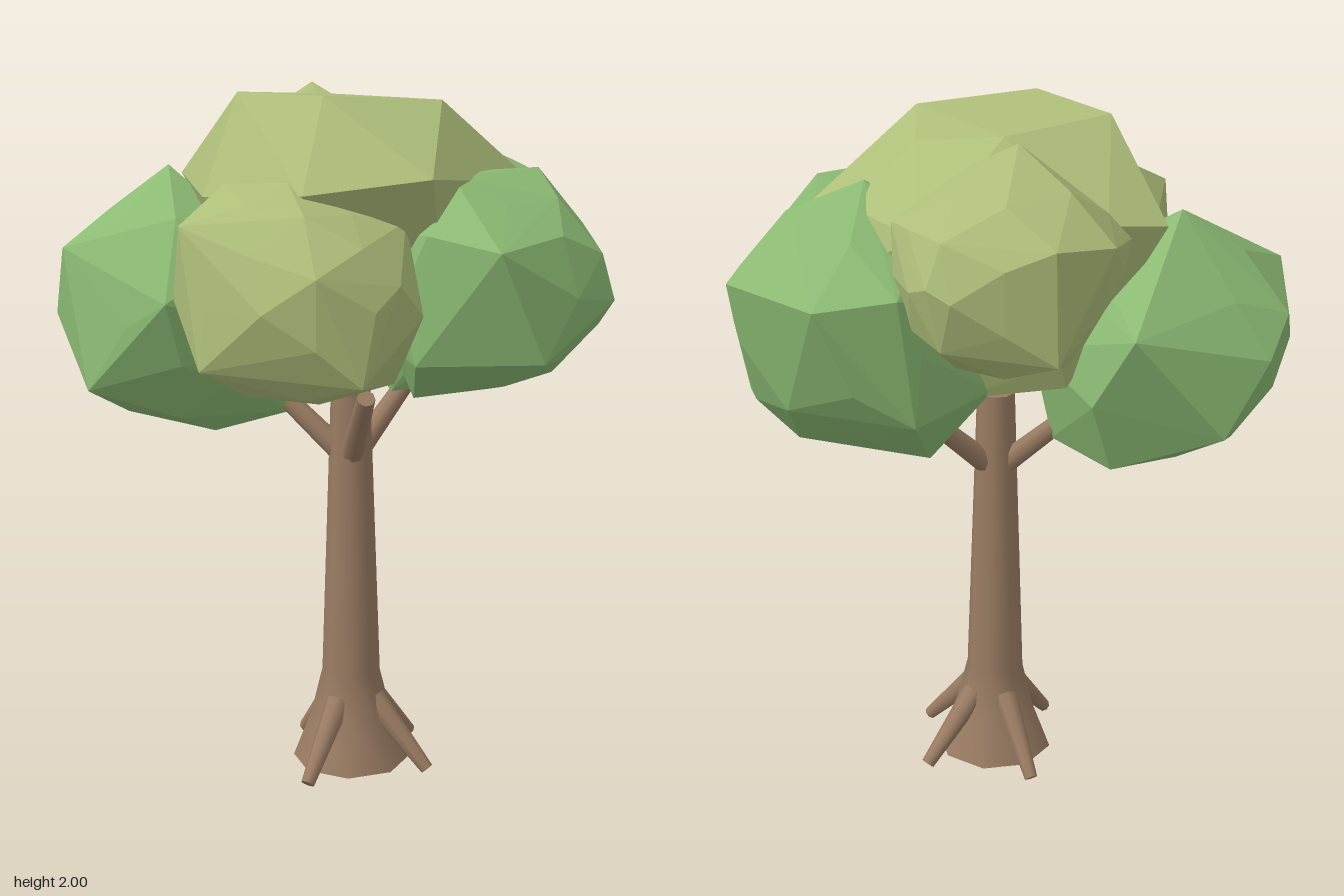
import * as THREE from 'three';
import { ConvexGeometry } from 'three/addons/geometries/ConvexGeometry.js';

const paint = (color, flatShading) => new THREE.MeshStandardMaterial({ color, flatShading });
const AXIS = new THREE.Vector3(-0.053, 0, -0.01); // trunk centre line

// Faceted leaf clump: the hull of a rough ellipsoid and a few jutting corners
function clump(name, center, radii, corners, material, detail = 1) {
  const pos = new THREE.IcosahedronGeometry(1, detail).attributes.position;
  const seen = new Map();
  for (let i = 0; i < pos.count; i++) {
    const v = new THREE.Vector3().fromBufferAttribute(pos, i);
    const key = [v.x, v.y, v.z].map((n) => Math.round(n * 1000)).join();
    const wobble = 0.985 + 0.04 * Math.sin(v.x * 7 + v.y * 11 + v.z * 5 + center[0] * 20);
    v.multiply(new THREE.Vector3(...radii)).multiplyScalar(wobble);
    seen.set(key, v.add(new THREE.Vector3(...center)));
  }
  const points = [...seen.values(), ...corners.map((c) => new THREE.Vector3(...c))];
  const mesh = new THREE.Mesh(new ConvexGeometry(points), material);
  mesh.name = name;
  return mesh;
}

// Tapered limb leaving the trunk at a compass angle in degrees, given as [radius from axis, height]
function limb(name, degrees, from, to, r0, r1, material) {
  const angle = THREE.MathUtils.degToRad(degrees);
  const place = ([r, y]) =>
    new THREE.Vector3(Math.cos(angle) * r, y, Math.sin(angle) * r).add(AXIS);
  const a = place(from), b = place(to);
  const dir = b.clone().sub(a);
  const mesh = new THREE.Mesh(new THREE.CylinderGeometry(r1, r0, dir.length(), 8), material);
  mesh.position.copy(a).lerp(b, 0.5);
  mesh.quaternion.setFromUnitVectors(new THREE.Vector3(0, 1, 0), dir.normalize());
  mesh.name = name;
  return mesh;
}

export function createModel() {
  const tree = new THREE.Group();
  tree.name = 'tree';
  const bark = paint(0x9a7c63, false);
  const lightLeaf = paint(0xaebe7a, true);
  const darkLeaf = paint(0x8cbb74, true);

  // Trunk with flared foot
  const profile = [[0, 0.01], [0.174, 0.01], [0.174, 0.01], [0.12, 0.15], [0.086, 0.29],
    [0.062, 1], [0.056, 1.18], [0.056, 1.18], [0, 1.18]].map(([x, y]) => new THREE.Vector2(x, y));
  const trunk = new THREE.Mesh(new THREE.LatheGeometry(profile, 8), bark);
  trunk.position.copy(AXIS);
  trunk.name = 'trunk';
  tree.add(trunk);

  // Roots and branches
  [-3, 70, 162, 278].forEach((angle, i) =>
    tree.add(limb(`root${i + 1}`, angle, [0.075, 0.21], [0.255, 0.016], 0.037, 0.02, bark)));
  [0, 123, 237].forEach((angle, i) =>
    tree.add(limb(`branch${i + 1}`, angle, [0.03, 0.96], [0.27, 1.18], 0.034, 0.026, bark)));

  // Crown
  tree.add(
    clump('topLeaves', [-0.02, 1.6, 0], [0.43, 0.41, 0.43], [
      [-0.31, 2, 0.17], [-0.3, 1.995, -0.2], [0.04, 1.98, 0.26], [0.05, 1.975, -0.2],
      [-0.22, 1.8, 0.49], [-0.48, 1.76, 0.28], [0.36, 1.74, 0.3], [0.4, 1.79, 0],
      [0.46, 1.62, 0.02], [-0.28, 1.75, -0.49], [-0.08, 1.78, -0.49], [0.36, 1.76, -0.28],
      [-0.05, 1.3, -0.36], [-0.02, 1.17, 0.02], [0.22, 1.28, -0.22], [-0.28, 1.25, 0.05],
      [-0.46, 1.72, -0.16],
    ], lightLeaf, 0),
    clump('backLeaves', [0.17, 1.67, -0.39], [0.31, 0.28, 0.28], [
      [0.12, 2, -0.37], [0.21, 1.8, -0.67], [0.02, 1.78, -0.66], [0.2, 1.5, -0.67],
      [0.47, 1.7, -0.48], [0.4, 1.8, -0.2], [0.38, 1.84, -0.45], [-0.15, 1.74, -0.5],
      [0.17, 1.92, -0.22],
    ], lightLeaf),
    clump('rightLeaves', [-0.46, 1.49, 0.2], [0.28, 0.29, 0.33], [
      [-0.74, 1.69, 0.1], [-0.76, 1.33, 0.2], [-0.5, 1.3, 0.53], [-0.4, 1.79, 0.1],
      [-0.55, 1.78, 0.05], [-0.19, 1.68, 0.36], [-0.5, 1.6, -0.15], [-0.38, 1.55, 0.54],
      [-0.2, 1.24, 0.33], [-0.25, 1.45, 0.49], [-0.4, 1.2, 0.25], [-0.2, 1.2, 0.15],
    ], lightLeaf),
    clump('frontLeaves', [0.12, 1.48, 0.37], [0.33, 0.31, 0.32], [
      [-0.01, 1.32, 0.7], [-0.21, 1.3, 0.42], [-0.2, 1.65, 0.45], [0.46, 1.45, 0.45],
      [-0.06, 1.79, 0.4], [0.3, 1.79, 0.38], [-0.14, 1.62, 0.66], [0.31, 1.45, 0.66],
      [-0.1, 1.18, 0.3], [0.35, 1.19, 0.35], [0.1, 1.17, 0.2],
    ], darkLeaf),
    clump('leftLeaves', [0.38, 1.46, 0.04], [0.34, 0.35, 0.35], [
      [0.76, 1.63, 0.04], [0.66, 1.27, 0.1], [0.65, 1.6, -0.22], [0.27, 1.1, -0.17],
      [0.34, 1.85, 0.04], [0.56, 1.77, 0.04], [0.45, 1.62, -0.31], [0.4, 1.26, -0.31],
      [0.55, 1.35, 0.34], [0.1, 1.12, 0], [0.3, 1.72, 0.35], [0.4, 1.18, 0.33],
      [0.45, 1.42, 0.41], [0.05, 1.4, -0.15], [0.12, 1.3, -0.26],
    ], darkLeaf),
    clump('backRightLeaves', [-0.41, 1.38, -0.37], [0.33, 0.34, 0.31], [
      [-0.76, 1.2, -0.3], [-0.74, 1.58, -0.43], [-0.33, 1.02, -0.29], [-0.58, 1.5, -0.65],
      [-0.47, 1.4, -0.71], [-0.33, 1.2, -0.7], [-0.08, 1.5, -0.62], [-0.35, 1.78, -0.46],
      [-0.64, 1.45, -0.1], [-0.14, 1.07, -0.45], [-0.05, 1.28, -0.48], [-0.14, 1.07, -0.17],
      [-0.08, 1.35, -0.15], [-0.3, 1.3, -0.06],
    ], darkLeaf),
  );
  return tree;
}
